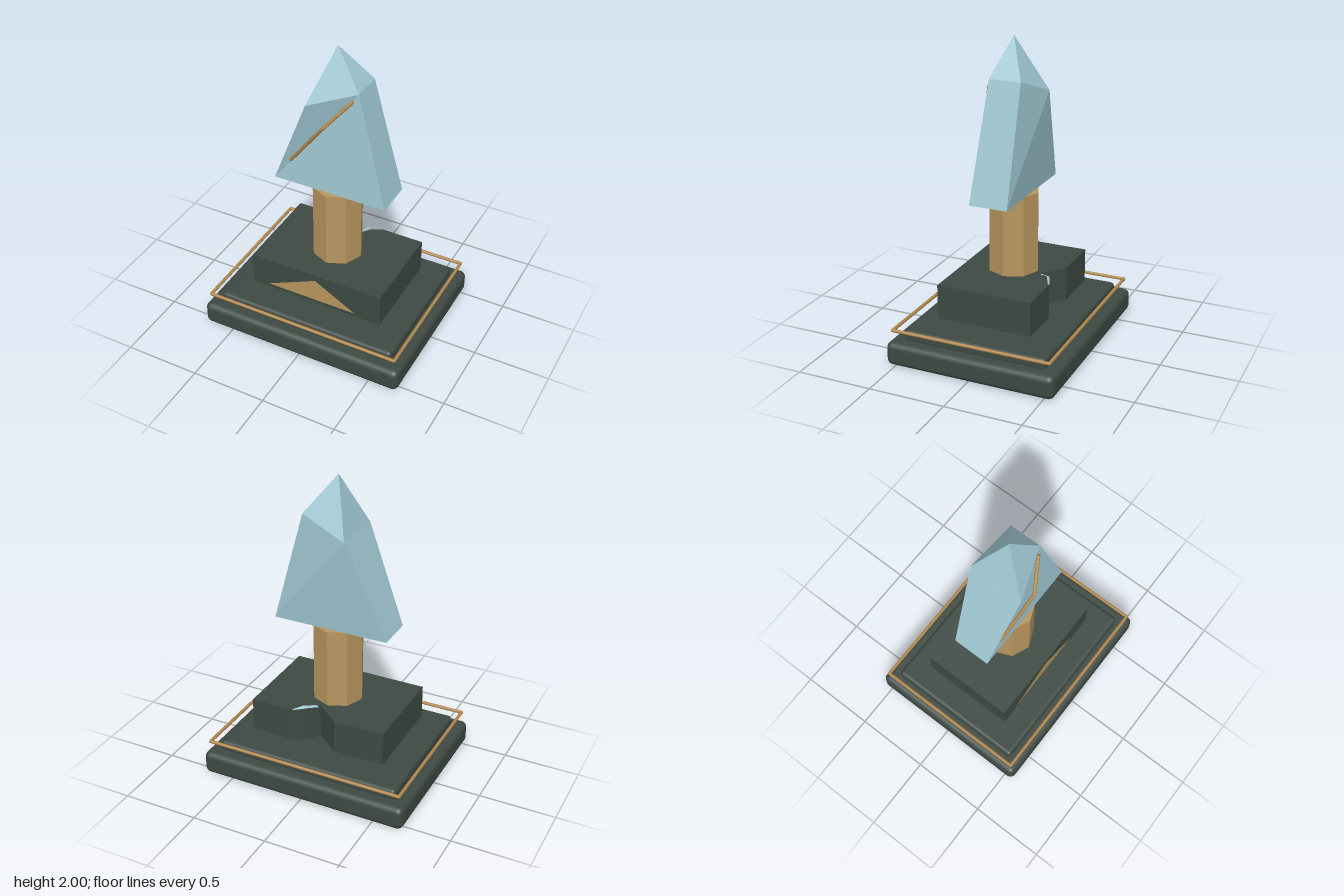
import * as THREE from 'three';
import { RoundedBoxGeometry } from 'three/addons/geometries/RoundedBoxGeometry.js';

const material = (name, color, extra = {}) => {
  const m = new THREE.MeshStandardMaterial({ color, ...extra });
  m.name = name;
  return m;
};

// Flat-faced geometry from points and triangle corner indices
function facets(points, triangles) {
  const g = new THREE.BufferGeometry();
  g.setAttribute('position', new THREE.Float32BufferAttribute(points.flat(), 3));
  g.setIndex(triangles.flat());
  const flat = g.toNonIndexed();
  flat.computeVertexNormals();
  return flat;
}

// Straight round rod between two points
function rodGeometry(a, b, radius) {
  const path = new THREE.LineCurve3(new THREE.Vector3(...a), new THREE.Vector3(...b));
  const g = new THREE.CylinderGeometry(radius, radius, path.getLength(), 8);
  const dir = path.v2.clone().sub(path.v1).normalize();
  g.applyQuaternion(new THREE.Quaternion().setFromUnitVectors(new THREE.Vector3(0, 1, 0), dir));
  const mid = path.getPoint(0.5);
  return g.translate(mid.x, mid.y, mid.z);
}

export function createModel() {
  const model = new THREE.Group();
  model.name = 'bladeMonument';
  const stone = material('dark green stone', 0x3e4a43);
  const wood = material('tan', 0xb8965f, { flatShading: true });
  const bronze = material('bronze', 0xb4894e);
  const ice = material('pale blue', 0x9fc7d2, { flatShading: true, side: THREE.DoubleSide });

  const add = (name, geometry, mat, x = 0, y = 0, z = 0) => {
    const mesh = new THREE.Mesh(geometry, mat);
    mesh.name = name;
    mesh.position.set(x, y, z);
    model.add(mesh);
    return mesh;
  };

  // Rounded plinth and step
  add('plinth', new RoundedBoxGeometry(1.405, 0.155, 1.125, 4, 0.04), stone, 0, 0.0775, 0);
  add('step', new RoundedBoxGeometry(1.235, 0.08, 0.955, 4, 0.025), stone, 0, 0.18, 0);

  // Rail around the step
  const corners = [[-0.665, 0.525], [0.665, 0.525], [0.665, -0.525], [-0.665, -0.525]];
  corners.forEach(([x, z], i) => {
    const [x2, z2] = corners[(i + 1) % 4];
    add('rail', rodGeometry([x, 0.23, z], [x2, 0.23, z2], 0.011), bronze);
    add('railCorner', new THREE.SphereGeometry(0.011, 8, 6), bronze, x, 0.23, z);
  });

  // Block with a chipped notch in its back; outline as x, z
  const outline = [
    [-0.46, 0.315], [0.46, 0.315], [0.46, -0.315], [0.17, -0.315],
    [0.1, -0.275], [0.045, -0.205], [0.035, -0.185], [-0.125, -0.315], [-0.46, -0.315],
  ];
  const shape = new THREE.Shape(outline.map(([x, z]) => new THREE.Vector2(x, -z)));
  const block = new THREE.ExtrudeGeometry(shape, { depth: 0.225, bevelEnabled: false });
  add('block', block.rotateX(-Math.PI / 2), stone, 0, 0.265, 0);

  // Triangular plate on the front of the block
  add('frontPlate', facets(
    [[-0.345, 0.29, 0], [0.285, 0.29, 0], [0, 0.45, 0]], [[0, 1, 2]],
  ), wood, 0, 0, 0.317);

  // Thin flake along the notch edge
  add('flake', facets([
    [0.035, 0.491, -0.212], [0.09, 0.508, -0.285], [0.165, 0.491, -0.314],
    [0.055, 0.494, -0.2], [0.11, 0.518, -0.272], [0.175, 0.491, -0.31],
  ], [[0, 3, 4], [0, 4, 1], [1, 4, 5], [1, 5, 2]]), ice);

  // Eight-sided post
  add('post', new THREE.CylinderGeometry(0.166, 0.166, 0.53, 8), wood, 0, 0.755, 0);

  // Faceted blade: four base corners, four shoulders, tip
  add('blade', facets([
    [-0.385, 1.02, 0.125], [0.385, 1.02, 0.125], [0.385, 1.02, -0.125], [-0.385, 1.02, -0.125],
    [-0.125, 1.65, 0.182], [0.18, 1.76, 0.083], [0.18, 1.76, -0.125], [-0.125, 1.65, -0.182],
    [0, 2, 0],
  ], [
    [0, 1, 5], [0, 5, 4], [1, 2, 6], [1, 6, 5],
    [2, 3, 7], [2, 7, 6], [3, 0, 4], [3, 4, 7],
    [4, 5, 8], [5, 6, 8], [6, 7, 8], [7, 4, 8],
    [0, 3, 2], [0, 2, 1],
  ]), ice);

  // Bent inlay rod across the blade front
  const bend = [[-0.26, 1.195, 0.135], [-0.005, 1.53, 0.188], [0.148, 1.71, 0.098]];
  for (let i = 0; i < 2; i++) add('inlay', rodGeometry(bend[i], bend[i + 1], 0.011), bronze);
  add('inlayJoint', new THREE.SphereGeometry(0.011, 8, 6), bronze, ...bend[1]);

  return model;
}
